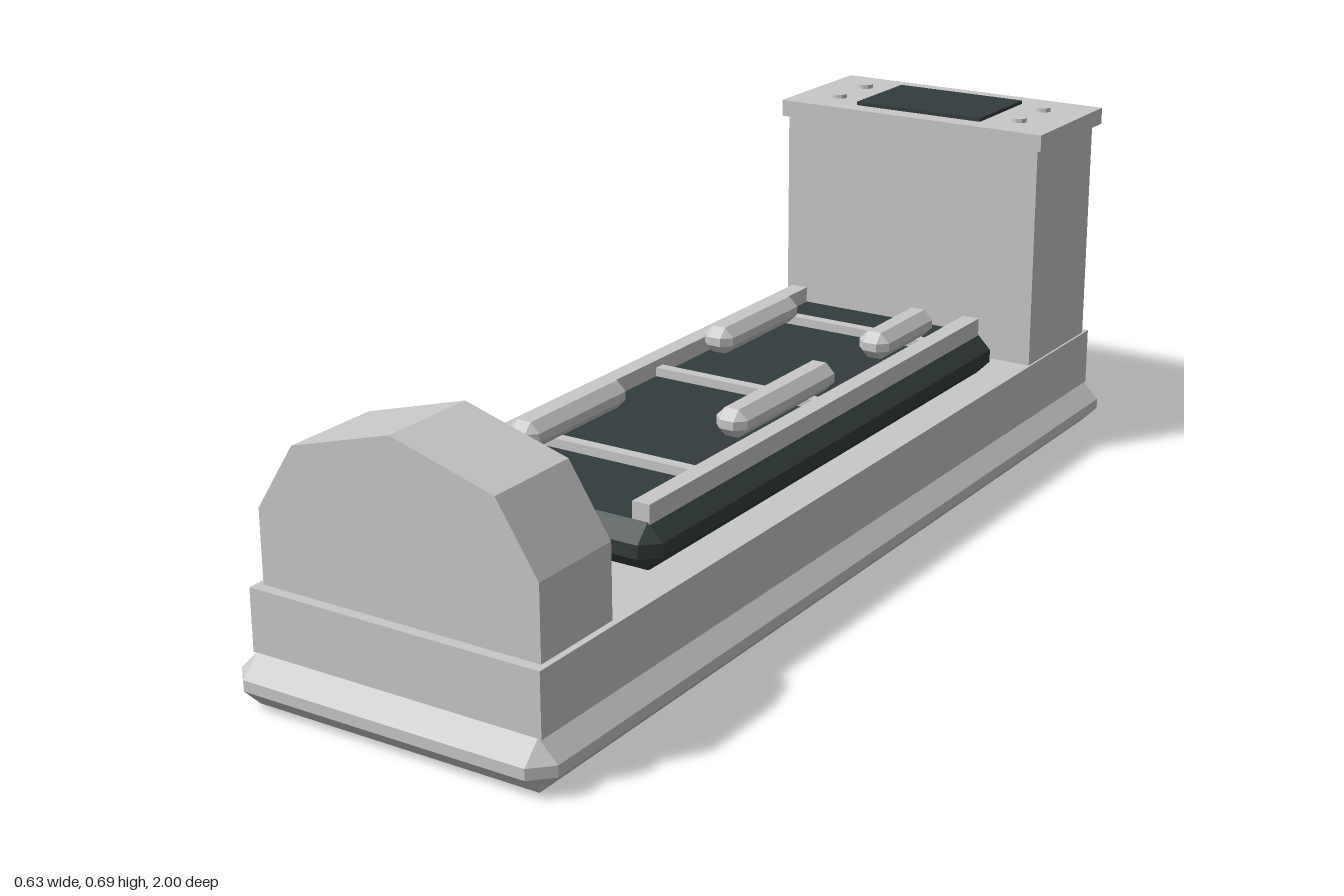
import * as THREE from 'three';
import { ConvexGeometry } from 'three/addons/geometries/ConvexGeometry.js';

const shell = new THREE.MeshStandardMaterial({ color: 0xc8c8c8, flatShading: true });
shell.name = 'light grey shell';
const dark = new THREE.MeshStandardMaterial({ color: 0x323c3c, flatShading: true });
dark.name = 'dark slate padding';

export function createModel() {
  const model = new THREE.Group();
  model.name = 'medicalBed';

  const add = (name, geometry, material) => {
    const mesh = new THREE.Mesh(geometry, material);
    mesh.name = name;
    model.add(mesh);
    return mesh;
  };

  // Plain block given by its extents
  const block = (name, material, x0, x1, y0, y1, z0, z1) =>
    add(name, new THREE.BoxGeometry(x1 - x0, y1 - y0, z1 - z0), material)
      .position.set((x0 + x1) / 2, (y0 + y1) / 2, (z0 + z1) / 2);

  // Block with all edges cut off by a chamfer
  const chamferBlock = (name, material, x0, x1, y0, y1, z0, z1, bevel) => {
    const half = [(x1 - x0) / 2, (y1 - y0) / 2, (z1 - z0) / 2];
    const points = [];
    for (const sx of [-1, 1]) for (const sy of [-1, 1]) for (const sz of [-1, 1]) {
      const signs = [sx, sy, sz];
      for (let axis = 0; axis < 3; axis++) {
        points.push(new THREE.Vector3(...half.map((h, i) => signs[i] * (i === axis ? h : h - bevel))));
      }
    }
    add(name, new ConvexGeometry(points), material)
      .position.set((x0 + x1) / 2, (y0 + y1) / 2, (z0 + z1) / 2);
  };

  // Faceted arch: upright sides, sloping shoulders and a low peak
  const arch = (name, material, w, shoulderX, y0, sideY, shoulderY, peakY, z0, z1) => {
    const shape = new THREE.Shape([
      [-w, y0], [w, y0], [w, sideY], [shoulderX, shoulderY],
      [0, peakY], [-shoulderX, shoulderY], [-w, sideY],
    ].map(([x, y]) => new THREE.Vector2(x, y)));
    add(name, new THREE.ExtrudeGeometry(shape, { depth: z1 - z0, bevelEnabled: false }), material)
      .position.z = z0;
  };

  // Base
  chamferBlock('basePlinth', shell, -0.315, 0.315, 0, 0.092, -1, 1, 0.036);
  block('baseBody', shell, -0.286, 0.286, 0.09, 0.203, -0.965, 0.965);

  // Arched end with its dark inner panel
  arch('archedEnd', shell, 0.274, 0.197, 0.2, 0.335, 0.455, 0.511, 0.76, 0.945);
  arch('archPanel', dark, 0.205, 0.147, 0.22, 0.312, 0.392, 0.43, 0.74, 0.762);

  // Console with cap, display and knobs
  block('console', shell, -0.282, 0.282, 0.2, 0.648, -0.945, -0.69);
  block('consoleCap', shell, -0.293, 0.293, 0.646, 0.679, -0.965, -0.68);
  block('consoleDisplay', dark, -0.14, 0.14, 0.677, 0.686, -0.91, -0.72);
  for (const x of [-0.205, 0.205]) for (const z of [-0.875, -0.765]) {
    add('knob', new THREE.CylinderGeometry(0.015, 0.015, 0.01, 8), shell).position.set(x, 0.682, z);
  }

  // Padded bed, side rails and crossbars
  chamferBlock('mattress', dark, -0.24, 0.24, 0.2, 0.285, -0.627, 0.597, 0.03);
  for (const x of [-0.197, 0.197]) {
    block('sideRail', shell, x - 0.017, x + 0.017, 0.28, 0.316, -0.595, 0.567);
  }
  for (const z of [-0.46, -0.05, 0.36]) {
    block('crossbar', shell, -0.182, 0.182, 0.28, 0.302, z - 0.011, z + 0.011);
  }

  // Restraint pads staggered along the two sides
  for (const [x, z0, z1] of [
    [-0.132, -0.44, -0.165], [-0.132, 0.16, 0.455],
    [0.135, -0.505, -0.295], [0.135, -0.125, 0.212],
  ]) {
    chamferBlock('restraintPad', shell, x - 0.032, x + 0.032, 0.3, 0.352, z0, z1, 0.018);
  }

  return model;
}
